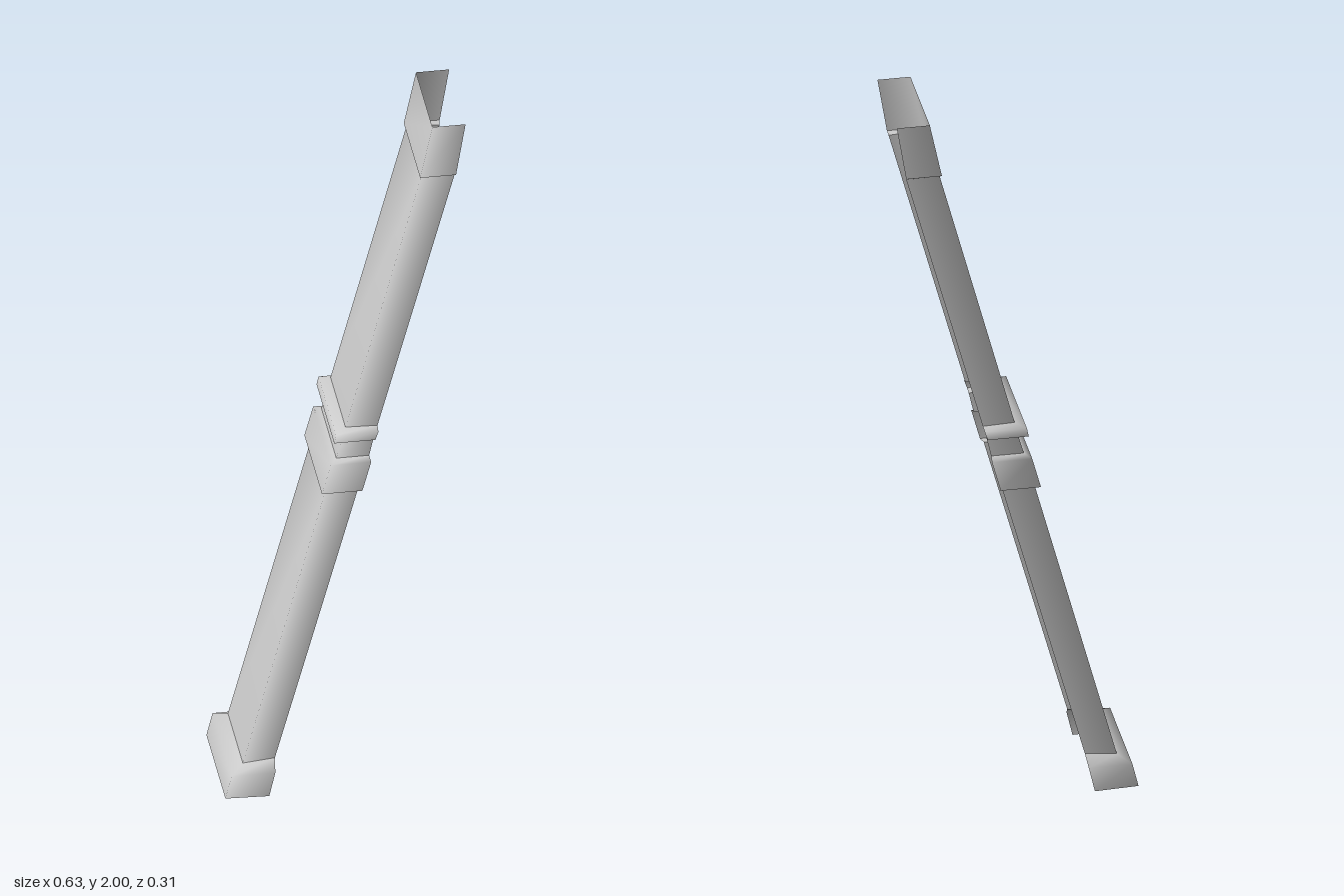
import * as THREE from 'three';

const material = new THREE.MeshStandardMaterial({ color: 0xcccccc, side: THREE.DoubleSide });

// A station is [webX, webY, lipX, lipY, halfWidth]: one U-shaped cross-section of thin sheet.
// Stations in one strip share smooth normals; separate strips meet in a sharp edge.
function sheet(stations) {
  const pos = [], index = [];
  for (const [wx, wy, lx, ly, h] of stations)
    pos.push(lx, ly, h, wx, wy, h, wx, wy, -h, lx, ly, -h);
  for (let r = 0; r < stations.length - 1; r++)
    for (let c = 0; c < 3; c++) {
      const a = r * 4 + c, b = a + 1, d = a + 4, e = a + 5;
      index.push(a, d, b, b, d, e);
    }
  const g = new THREE.BufferGeometry();
  g.setAttribute('position', new THREE.Float32BufferAttribute(pos, 3));
  g.setIndex(index);
  g.computeVertexNormals();
  return g;
}

export function createModel() {
  const group = new THREE.Group();
  const part = (name, ...strips) => {
    const p = new THREE.Group();
    p.name = name;
    strips.forEach((s, i) => {
      const m = new THREE.Mesh(sheet(s), material);
      m.name = `${name}Sheet${i + 1}`;
      p.add(m);
    });
    group.add(p);
  };

  // Plain channel sections at the ends of each run
  const lowStart = [-0.267, 0.087, -0.183, 0.095, 0.121];
  const lowEnd = [-0.049, 0.907, 0.037, 0.907, 0.121];
  const neckStart = [-0.022, 1.0, 0.064, 1.0, 0.121];
  const neckEnd = [-0.006, 1.057, 0.077, 1.057, 0.121];
  const highStart = [0.002, 1.093, 0.086, 1.09, 0.121];
  const highEnd = [0.201, 1.845, 0.288, 1.84, 0.121];

  // Flared foot with a tapered shoulder
  part('foot', [
    [-0.318, 0.004, -0.203, 0, 0.154],
    [-0.302, 0.07, -0.187, 0.07, 0.154],
    lowStart,
  ]);

  part('lowerChannel', [lowStart, lowEnd]);

  // Wide middle collar: flat underside, band, slightly bevelled top
  const collarLow = [-0.063, 0.907, 0.043, 0.907, 0.143];
  part('middleCollar', [lowEnd, collarLow], [
    collarLow,
    [-0.04, 0.993, 0.066, 0.993, 0.143],
    neckStart,
  ]);

  part('neck', [neckStart, neckEnd]);

  // Narrow ring above the collar
  const ringLow = [-0.031, 1.06, 0.077, 1.06, 0.143];
  part('middleRing', [neckEnd, ringLow], [
    ringLow,
    [-0.026, 1.084, 0.085, 1.084, 0.143],
    highStart,
  ]);

  part('upperChannel', [highStart, highEnd]);

  // Top collar, open at its upper end
  const capLow = [0.196, 1.847, 0.29, 1.847, 0.133];
  part('topCollar', [highEnd, capLow], [capLow, [0.228, 2, 0.315, 2, 0.133]]);

  return group;
}
